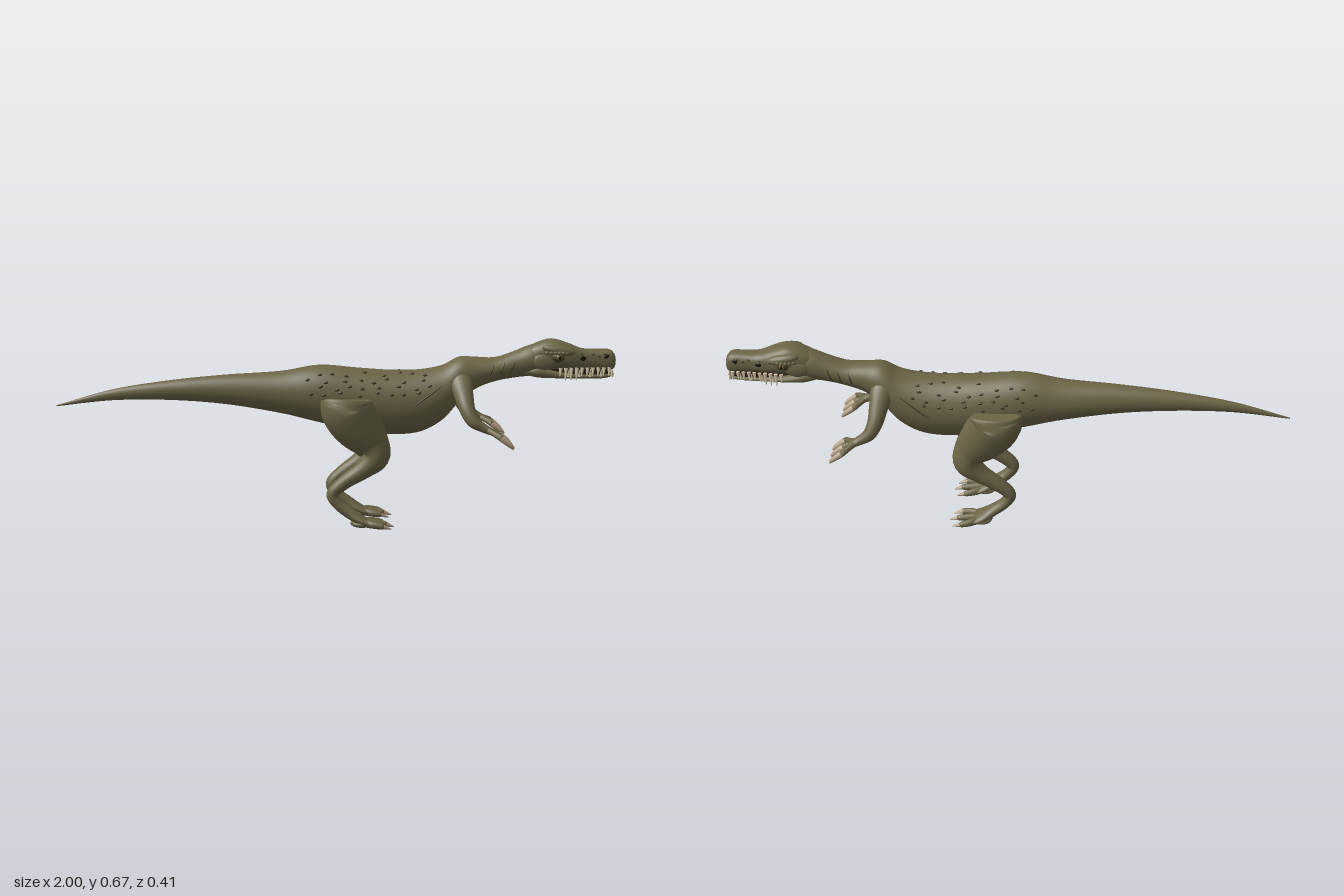
import * as THREE from 'three';

const mat = (name, color) => Object.assign(new THREE.MeshStandardMaterial({ color }), { name });
const V = (x, y, z) => new THREE.Vector3(x, y, z);

export function createModel() {
  const model = new THREE.Group();
  model.name = 'dinosaur';
  const hide = mat('olive hide', 0x6c6547), dark = mat('dark scales', 0x454029);
  const claw = mat('claw horn', 0xb8a48a), ivory = mat('tooth ivory', 0xd2c3a4);
  const black = mat('eye black', 0x15120d), amber = mat('eye amber', 0x8a6a2c), mouth = mat('mouth dark', 0x2e211b);

  const add = (parent, name, geo, material) => {
    const m = new THREE.Mesh(geo, material);
    m.name = name;
    parent.add(m);
    return m;
  };

  // Smooth interpolation through rows of [x, y, z, in-plane radius, sideways radius]
  const path = (rows) => {
    const c = new THREE.CatmullRomCurve3(rows.map((r) => V(r[0], r[1], r[2])), false, 'catmullrom');
    const s = new THREE.CatmullRomCurve3(rows.map((r) => V(r[3], r[4], 0)), false, 'catmullrom');
    return { c, s };
  };

  // Closed skin over those rows; upright keeps every ring in the yz plane, box > 1 squares the ring
  const skin = ({ c, s }, n = 32, m = 20, upright = false, box = 1) => {
    const pos = [], idx = [];
    const bend = (v) => Math.sign(v) * Math.pow(Math.abs(v), 1 / box);
    for (let i = 0; i <= n; i++) {
      const p = c.getPoint(i / n), r = s.getPoint(i / n);
      const t = upright ? V(1, 0, 0) : c.getTangent(i / n);
      const side = V(0, 0, 1).addScaledVector(t, -t.z).normalize();
      const up = side.clone().cross(t);
      for (let j = 0; j < m; j++) {
        const a = (j / m) * Math.PI * 2;
        const q = p.clone().addScaledVector(up, r.x * bend(Math.cos(a))).addScaledVector(side, r.y * bend(Math.sin(a)));
        pos.push(q.x, q.y, q.z);
      }
    }
    const a0 = pos.length / 3, p0 = c.getPoint(0), p1 = c.getPoint(1);
    pos.push(p0.x, p0.y, p0.z, p1.x, p1.y, p1.z);
    for (let j = 0; j < m; j++) {
      const k = (j + 1) % m;
      for (let i = 0; i < n; i++) {
        const a = i * m + j, b = i * m + k;
        idx.push(a, b, a + m, b, b + m, a + m);
      }
      idx.push(a0, k, j, a0 + 1, n * m + j, n * m + k);
    }
    const g = new THREE.BufferGeometry();
    g.setAttribute('position', new THREE.Float32BufferAttribute(pos, 3));
    g.setIndex(idx);
    g.computeVertexNormals();
    return g;
  };
  const limb = (rows, n, m) => skin(path(rows), n, m);
  // Profile rows [x, top, bottom, half width]
  const profile = (rows) => path(rows.map(([x, t, b, w]) => [x, (t + b) / 2, 0, (t - b) / 2, w]));

  const ball = (parent, name, p, r, material, tilt = 0) => {
    const m = add(parent, name, new THREE.SphereGeometry(1, 14, 10), material);
    m.position.copy(p);
    m.scale.set(...r);
    m.rotation.z = tilt;
  };
  const spike = (parent, name, from, to, r, material) => {
    const m = add(parent, name, new THREE.CylinderGeometry(r * 0.2, r, from.distanceTo(to), 8), material);
    m.position.lerpVectors(from, to, 0.5);
    m.quaternion.setFromUnitVectors(V(0, 1, 0), to.clone().sub(from).normalize());
  };

  // Tail, trunk and neck in one skin
  const trunk = profile([
    [-1, 0.432, 0.428, 0.002], [-0.8, 0.488, 0.449, 0.014], [-0.6, 0.52, 0.45, 0.03], [-0.4, 0.54, 0.435, 0.046],
    [-0.2, 0.553, 0.402, 0.066], [-0.06, 0.575, 0.368, 0.085], [0.08, 0.564, 0.338, 0.094], [0.2, 0.556, 0.324, 0.096],
    [0.3, 0.558, 0.333, 0.094], [0.38, 0.573, 0.375, 0.086], [0.44, 0.603, 0.44, 0.072], [0.5, 0.602, 0.488, 0.058],
    [0.57, 0.601, 0.515, 0.052], [0.64, 0.624, 0.528, 0.048], [0.7, 0.647, 0.535, 0.05], [0.77, 0.655, 0.55, 0.045],
  ]);
  add(model, 'body', skin(trunk, 90, 36, true), hide);

  // Point on the trunk's side at a given length and height
  const flank = (x, y, k) => {
    let lo = 0, hi = 1;
    for (let i = 0; i < 20; i++) {
      const mid = (lo + hi) / 2;
      if (trunk.c.getPoint(mid).x < x) lo = mid; else hi = mid;
    }
    const r = trunk.s.getPoint(lo), h = (y - trunk.c.getPoint(lo).y) / r.x;
    return V(x, y, k * r.y * Math.sqrt(Math.max(0, 1 - h * h)));
  };

  // Skull, snout and lower jaw
  const head = new THREE.Group();
  head.name = 'head';
  model.add(head);
  add(head, 'skull', skin(profile([
    [0.67, 0.625, 0.56, 0.03], [0.71, 0.65, 0.55, 0.047], [0.77, 0.667, 0.557, 0.054], [0.83, 0.651, 0.56, 0.05],
    [0.88, 0.632, 0.56, 0.04], [0.93, 0.63, 0.558, 0.035], [0.975, 0.629, 0.555, 0.034], [0.993, 0.615, 0.56, 0.028],
    [0.999, 0.6, 0.573, 0.015],
  ]), 48, 28, true, 1.35), hide);
  add(head, 'lowerJaw', skin(profile([
    [0.67, 0.565, 0.54, 0.035], [0.72, 0.572, 0.529, 0.049], [0.775, 0.556, 0.526, 0.045], [0.86, 0.543, 0.524, 0.035],
    [0.94, 0.543, 0.524, 0.031], [0.98, 0.546, 0.53, 0.027], [0.993, 0.545, 0.537, 0.015],
  ]), 32, 20, true, 1.3), hide);
  const gape = add(head, 'mouthInside', new THREE.BoxGeometry(0.22, 0.024, 0.05), mouth);
  gape.position.set(0.865, 0.552, 0);

  for (const k of [1, -1]) {
    // Brow, eye, nostril and cheek
    ball(head, 'brow', V(0.79, 0.63, k * 0.046), [0.06, 0.018, 0.02], hide, -0.18);
    ball(head, 'eyeSocket', V(0.788, 0.605, k * 0.05), [0.023, 0.017, 0.013], dark);
    ball(head, 'eye', V(0.79, 0.606, k * 0.055), [0.012, 0.011, 0.011], amber);
    ball(head, 'pupil', V(0.791, 0.606, k * 0.062), [0.006, 0.008, 0.005], black);
    ball(head, 'nostril', V(0.962, 0.606, k * 0.033), [0.01, 0.007, 0.004], black, 0.4);
    ball(head, 'snoutHollow', V(0.875, 0.6, k * 0.039), [0.014, 0.009, 0.004], black);
    ball(head, 'cheek', V(0.74, 0.59, k * 0.044), [0.045, 0.03, 0.012], hide);
    for (let i = 0; i < 7; i++) {
      ball(head, 'headScale', V(0.83 + i * 0.021, 0.614 - 0.007 * (i % 2), k * (i < 3 ? 0.047 - i * 0.005 : 0.034)), [0.006, 0.004, 0.004], dark);
      ball(head, 'browBump', V(0.748 + i * 0.014, 0.622, k * (0.05 + 0.014 * Math.sin(Math.PI * (i + 0.5) / 7))), [0.008, 0.007, 0.006], hide);
    }
    // Teeth of both jaws, splayed outside the lips
    for (let i = 0; i < 10; i++) {
      const x = 0.798 + i * 0.0195, z = Math.max(0.035, 0.046 - i * 0.002);
      const len = i > 0 && i < 4 ? 0.044 : 0.03;
      spike(head, 'upperTooth', V(x, 0.567, k * z), V(x - 0.003, 0.567 - len, k * (z + 0.007)), 0.0075, ivory);
      if (i % 2) spike(head, 'lowerTooth', V(x + 0.01, 0.535, k * (z - 0.004)), V(x + 0.01, 0.561, k * (z + 0.002)), 0.006, ivory);
    }

    // Skin folds on neck and behind the arm
    const folds = [[0.27, 0.435, 0.375, 0.51], [0.545, 0.54, 0.56, 0.58], [0.58, 0.54, 0.598, 0.585], [0.615, 0.545, 0.636, 0.595]];
    for (const [xa, ya, xb, yb] of folds) {
      const pts = [0, 0.33, 0.67, 1].map((f) => flank(xa + (xb - xa) * f, ya + (yb - ya) * f, k));
      add(model, 'skinFold', limb(pts.map((p, i) => [p.x, p.y, p.z, i % 3 ? 0.003 : 0.001, i % 3 ? 0.002 : 0.001]), 12, 8), dark);
    }
    // Scattered scales on the flank
    for (let row = 0; row < 4; row++) for (let i = 0; i < 8; i++) {
      const x = -0.09 + i * 0.056 + (row % 2) * 0.025 + 0.012 * Math.sin(i * 5.1 + row * 2.3);
      const y = 0.48 + row * 0.022 + 0.006 * Math.sin(i * 3.7 + row);
      if (x < 0.35) ball(model, 'backScale', flank(x, y, k), [0.0085, 0.005, 0.004], dark, 0.3 * Math.sin(i + row));
    }

    // Hind leg from hip to ankle
    const leg = new THREE.Group();
    leg.name = k > 0 ? 'nearLeg' : 'farLeg';
    model.add(leg);
    add(leg, 'legSkin', limb([
      [0.036, 0.464, k * 0.105, 0.08, 0.045], [0.036, 0.456, k * 0.105, 0.089, 0.058], [0.037, 0.425, k * 0.1, 0.092, 0.072],
      [0.074, 0.368, k * 0.093, 0.088, 0.068], [0.122, 0.305, k * 0.082, 0.066, 0.062], [0.138, 0.256, k * 0.093, 0.05, 0.049],
      [0.095, 0.212, k * 0.095, 0.034, 0.038], [0.03, 0.168, k * 0.095, 0.026, 0.03], [-0.014, 0.125, k * 0.095, 0.022, 0.025],
      [0.004, 0.088, k * 0.095, 0.02, 0.025], [0.045, 0.055, k * 0.096, 0.02, 0.03], [0.085, 0.03, k * 0.097, 0.017, 0.042],
      [0.12, 0.018, k * 0.097, 0.01, 0.044],
    ], 64, 24), hide);
    // Foot with three clawed toes
    ball(leg, 'footPad', V(0.09, 0.017, k * 0.097), [0.042, 0.015, 0.04], hide);
    for (const z of [0.057, 0.098, 0.139]) {
      const tip = z === 0.098 ? 0.178 : 0.166, q = 0.097 + (z - 0.097) * 0.75;
      add(leg, 'toe', limb([
        [0.07, 0.022, k * 0.097, 0.014, 0.013], [0.12, 0.019, k * q, 0.014, 0.013],
        [tip - 0.01, 0.014, k * z, 0.011, 0.011], [tip, 0.012, k * z, 0.008, 0.008],
      ], 14, 12), hide);
      spike(leg, 'toeClaw', V(tip - 0.01, 0.015, k * z), V(tip + 0.027, 0.004, k * z), 0.0105, claw);
    }

    // Fore limb with three clawed fingers
    const arm = new THREE.Group();
    arm.name = k > 0 ? 'nearArm' : 'farArm';
    model.add(arm);
    add(arm, 'armSkin', limb([
      [0.435, 0.55, k * 0.033, 0.035, 0.022], [0.442, 0.515, k * 0.06, 0.04, 0.029], [0.45, 0.475, k * 0.09, 0.034, 0.03],
      [0.46, 0.43, k * 0.122, 0.028, 0.028], [0.48, 0.392, k * 0.142, 0.023, 0.024], [0.515, 0.369, k * 0.148, 0.016, 0.019],
      [0.545, 0.355, k * 0.151, 0.012, 0.02], [0.556, 0.35, k * 0.151, 0.006, 0.012],
    ], 40, 20), hide);
    for (const z of [0.11, 0.152, 0.194]) {
      add(arm, 'finger', limb([
        [0.522, 0.366, k * 0.15, 0.011, 0.011], [0.548, 0.354, k * (0.152 + (z - 0.152) * 0.55), 0.01, 0.01],
        [0.57, 0.343, k * z, 0.011, 0.011], [0.576, 0.339, k * z, 0.009, 0.009],
      ], 12, 12), hide);
      add(arm, 'fingerClaw', limb([
        [0.564, 0.347, k * z, 0.008, 0.009], [0.576, 0.338, k * z, 0.0115, 0.0125],
        [0.603, 0.317, k * z, 0.0095, 0.0105], [0.617, 0.303, k * z, 0.005, 0.007],
      ], 12, 10), claw);
    }
  }
  return model;
}
